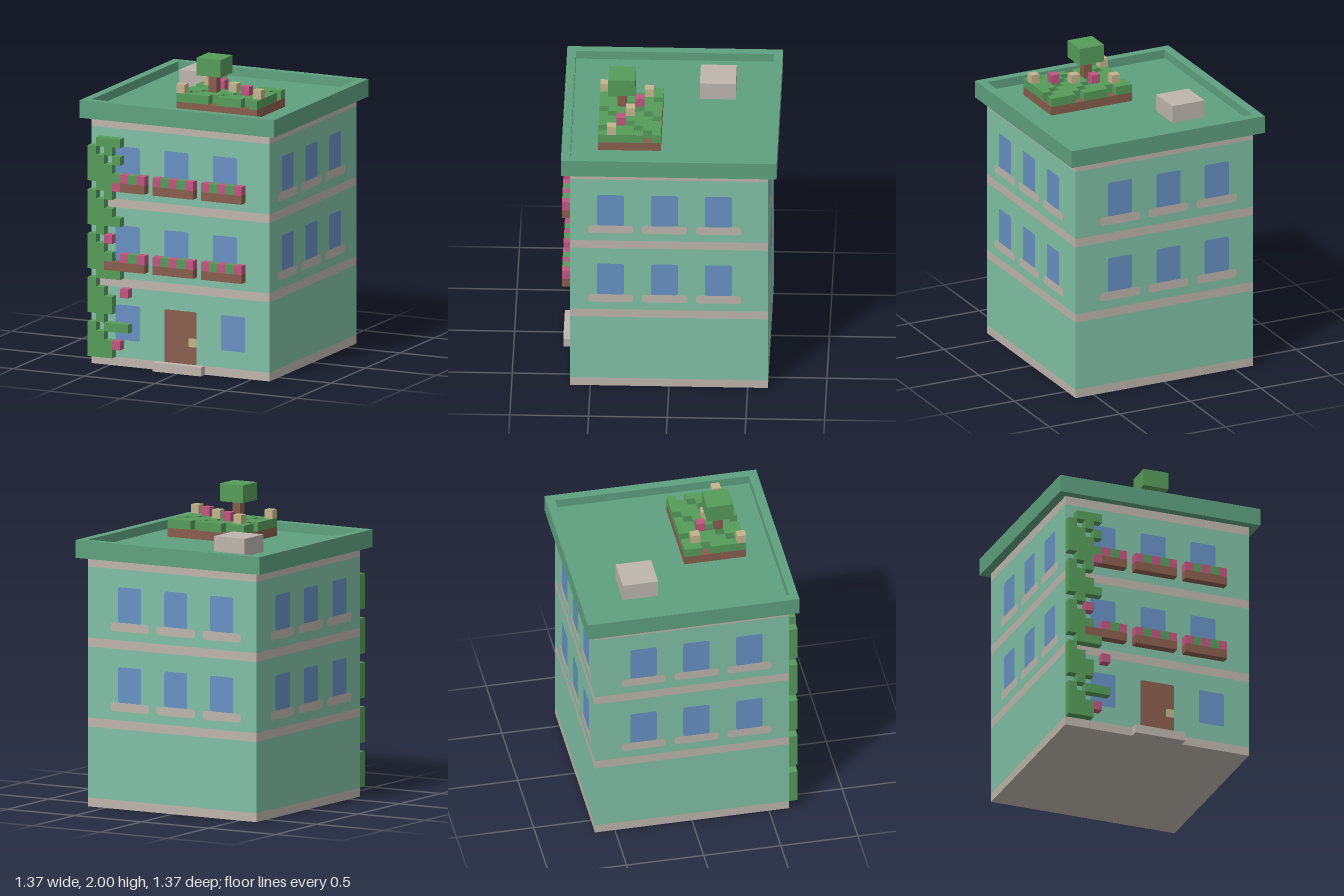
import * as THREE from 'three';
import { mergeGeometries } from 'three/addons/utils/BufferGeometryUtils.js';

const U = 2 / 35; // one building block

const mat = (name, color) => {
  const m = new THREE.MeshStandardMaterial({ color });
  m.name = name;
  return m;
};

// Box between two corners, in blocks
function block(x0, y0, z0, x1, y1, z1) {
  const g = new THREE.BoxGeometry((x1 - x0) * U, (y1 - y0) * U, (z1 - z0) * U);
  return g.translate((x0 + x1) / 2 * U, (y0 + y1) / 2 * U, (z0 + z1) / 2 * U);
}
const cell = (x, y, z) => block(x, y, z, x + 1, y + 1, z + 1);

// Flat rounded panel on a wall; turn picks the wall (0 front, 1 +x, 2 back, 3 -x)
function panel(turn, x, y, w, h, r, lift = 0.003) {
  const s = new THREE.Shape();
  s.moveTo(x + r, y);
  s.lineTo(x + w - r, y);
  s.quadraticCurveTo(x + w, y, x + w, y + r);
  s.lineTo(x + w, y + h - r);
  s.quadraticCurveTo(x + w, y + h, x + w - r, y + h);
  s.lineTo(x + r, y + h);
  s.quadraticCurveTo(x, y + h, x, y + h - r);
  s.lineTo(x, y + r);
  s.quadraticCurveTo(x, y, x + r, y);
  const g = new THREE.ShapeGeometry(s, 4);
  return g.scale(U, U, 1).translate(0, 0, 11 * U + lift).rotateY(turn * Math.PI / 2);
}

export function createModel() {
  const model = new THREE.Group();
  model.name = 'townhouse';
  const wall = mat('mint wall', 0x80c0a5);
  const roofGreen = mat('roof green', 0x5ea17f);
  const stone = mat('stone', 0xbdb5ad);
  const glass = mat('window blue', 0x6691c2);
  const wood = mat('brown', 0x875e4c);
  const leaf = mat('leaf green', 0x569b5a);
  const pink = mat('pink', 0xc0567f);
  const cream = mat('cream', 0xc3b48c);

  const add = (name, material, geometries) => {
    const mesh = new THREE.Mesh(mergeGeometries(geometries), material);
    mesh.name = name;
    model.add(mesh);
  };

  // Storeys and the flush stone courses between them
  const layer = ([y0, y1]) => block(-11, y0, -11, 11, y1, 11);
  add('walls', wall, [[1, 9], [10, 18], [19, 27]].map(layer));
  add('stoneCourses', stone, [[0, 1], [9, 10], [18, 19], [27, 28]].map(layer));

  // Roof slab with a raised rim
  add('roof', roofGreen, [
    block(-12, 28, -12, 12, 29, 12),
    block(-12, 29, -12, 12, 30, -11),
    block(-12, 29, 11, 12, 30, 12),
    block(-12, 29, -11, -11, 30, 11),
    block(11, 29, -11, 12, 30, 11),
  ]);
  add('roofVent', stone, [block(-7, 29, -7, -3, 31, -3)]);

  // Windows on all four walls, sills on the sides and back
  const windows = [panel(0, -8, 3, 3, 4, 0.25), panel(0, 5, 3, 3, 4, 0.25)];
  const sills = [];
  for (let turn = 0; turn < 4; turn++) {
    const first = turn < 2 ? -8 : -7;
    for (const y of [12, 21]) {
      for (let i = 0; i < 3; i++) {
        const x = first + i * 6;
        windows.push(panel(turn, x, y, 3, 4, 0.25));
        if (turn) sills.push(panel(turn, x - 1, y - 1, 5, 1, 0.4));
      }
    }
  }
  add('windows', glass, windows);
  add('windowSills', stone, sills);

  // Door, handle and step
  add('door', wood, [panel(0, -2, 1, 4, 6, 0.2)]);
  add('doorHandle', cream, [panel(0, 1, 3, 1, 1, 0.2, 0.006)]);
  add('doorStep', stone, [block(-3, 0, 11, 3, 1, 12)]);

  // Window boxes with alternating flowers; the vine covers the start of the first
  const troughs = [], boxFlowers = [], boxLeaves = [];
  for (const y of [11, 20]) {
    for (const x of [-9, -3, 3]) {
      const start = x === -9 && y === 20 ? -7 : x;
      troughs.push(block(start, y, 11, x + 5, y + 1, 12));
      for (let i = x === -9 ? 2 : 0; i < 5; i++) {
        (i % 2 ? boxLeaves : boxFlowers).push(cell(x + i, y + 1, 11));
      }
    }
  }
  add('windowBoxes', wood, troughs);
  add('windowBoxFlowers', pink, boxFlowers);
  add('windowBoxLeaves', leaf, boxLeaves);

  // Climbing vine: width of each row from the bottom, with diagonal gaps
  const widths = [3, 3, 3, 5, 2, 3, 3, 3, 2, 4, 2, 4, 3, 2, 2, 4, 3, 2, 3, 3, 4, 3, 4, 3, 4];
  const vine = [];
  widths.forEach((w, i) => {
    const y = i + 1;
    for (let c = 0; c < w; c++) {
      if ((c + y) % 5) vine.push(cell(c - 11, y, 11));
    }
  });
  add('vine', leaf, vine);
  add('vineFlowers', pink, [[3, 2], [4, 8], [2, 14], [3, 20]].map(([c, y]) => cell(c - 11, y, 11)));

  // Roof garden: soil bed, patchy plants and flowers
  const creamSpots = [[1, 1], [5, 3], [9, 5], [0, 6]];
  const pinkSpots = [[3, 2], [7, 4]];
  const plants = [];
  for (let c = 0; c < 10; c++) {
    for (let r = 0; r < 7; r++) {
      const flower = creamSpots.some(([a, b]) => a === c && b === r);
      if ((c + r) % 4 !== 2 || flower) plants.push(cell(c - 2, 30, r + 1));
    }
  }
  const bloom = ([c, r]) => cell(c - 2, 31, r + 1);
  add('gardenSoil', wood, [block(-2, 29, 1, 8, 30, 8)]);
  add('gardenPlants', leaf, plants);
  add('creamGardenFlowers', cream, creamSpots.map(bloom));
  add('pinkGardenFlowers', pink, pinkSpots.map(bloom));

  // Small tree
  add('treeTrunk', wood, [block(1, 31, 5, 2, 33, 6)]);
  add('treeCrown', leaf, [block(0, 33, 4, 3, 35, 7)]);

  return model;
}
